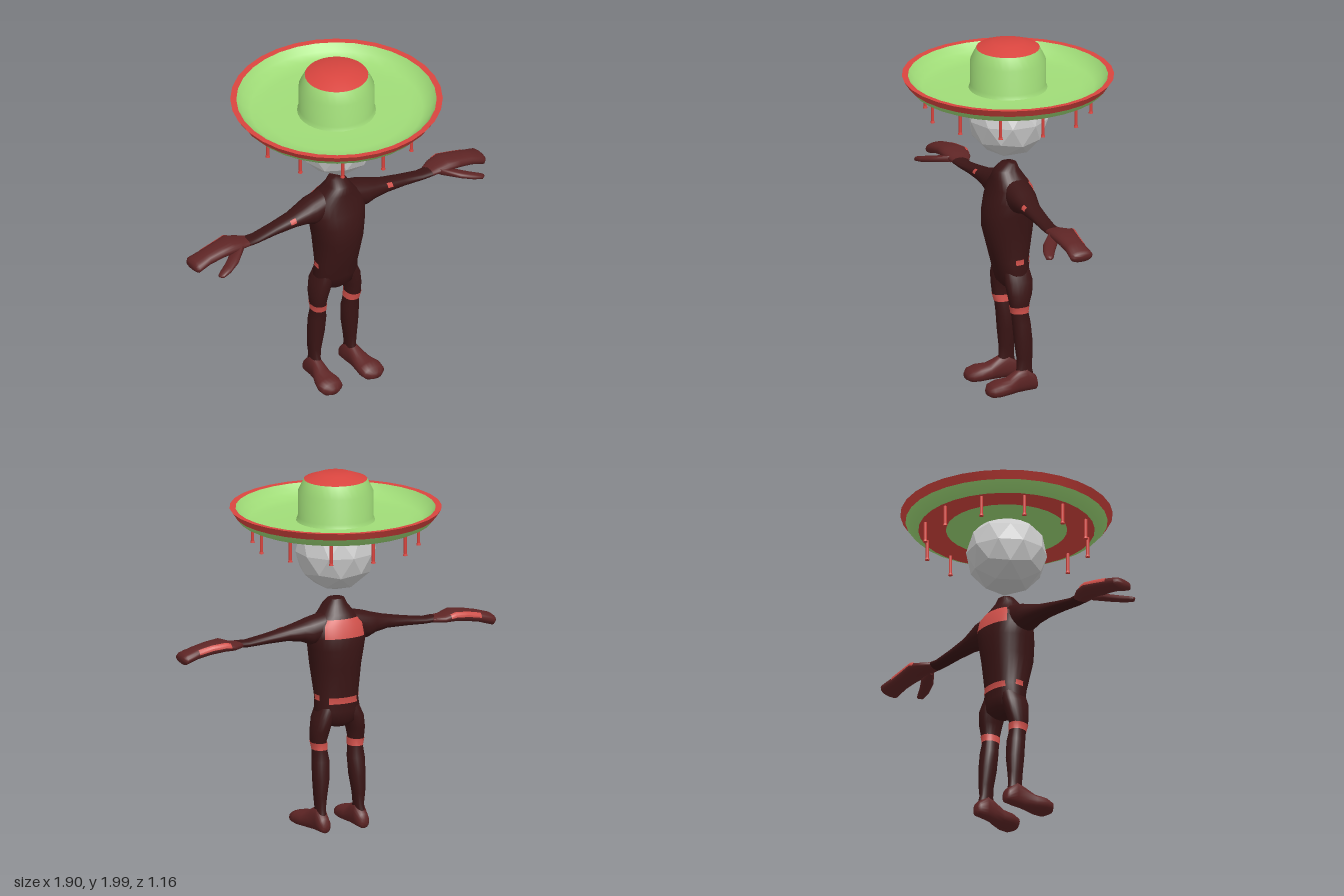
import * as THREE from 'three';
import { toCreasedNormals } from 'three/addons/utils/BufferGeometryUtils.js';

const paint = (color, extra = {}) => {
  const m = new THREE.MeshStandardMaterial({ color, ...extra });
  return m;
};
const skin = paint(0x3a1515);
const limb = paint(0x5e2525);
const patchRed = paint(0xd0504a, { side: THREE.DoubleSide });
const red = paint(0xd9453f, { side: THREE.DoubleSide });
const green = paint(0xa0dc78, { side: THREE.DoubleSide });
const grey = paint(0xcccccc, { flatShading: true });

// Section [t, bMin, bMax, cMin, cMax] interpolated at position t
function sectionAt(rings, t) {
  let i = 0;
  while (i < rings.length - 2 && rings[i + 1][0] < t) i++;
  const k = (t - rings[i][0]) / (rings[i + 1][0] - rings[i][0]);
  return rings[i].map((v, n) => THREE.MathUtils.lerp(v, rings[i + 1][n], k));
}

// Skin over sections along an axis (0 x, 1 y, 2 z); b and c are the next two axes in cycle
function loft(rings, axis, { from = 0, to = Math.PI * 2, grow = 0, cap = true, seg = 20 } = {}) {
  const pos = [], index = [];
  const list = [...rings];
  if (cap) {
    const close = ([t, b0, b1, c0, c1], d) => [t + d, (b0 + b1) / 2, (b0 + b1) / 2, (c0 + c1) / 2, (c0 + c1) / 2];
    list.unshift(close(rings[0], -0.002));
    list.push(close(rings[rings.length - 1], 0.002));
  }
  const soft = (v) => Math.sign(v) * Math.abs(v) ** 0.88;
  for (const [t, b0, b1, c0, c1] of list) {
    for (let j = 0; j <= seg; j++) {
      const a = from + ((to - from) * j) / seg;
      const p = [0, 0, 0];
      p[axis] = t;
      p[(axis + 1) % 3] = (b0 + b1) / 2 + ((b1 - b0) / 2 + grow) * soft(Math.cos(a));
      p[(axis + 2) % 3] = (c0 + c1) / 2 + ((c1 - c0) / 2 + grow) * soft(Math.sin(a));
      pos.push(...p);
    }
  }
  const w = seg + 1;
  for (let i = 0; i < list.length - 1; i++) {
    for (let j = 0; j < seg; j++) {
      const a = i * w + j;
      index.push(a, a + 1, a + w + 1, a, a + w + 1, a + w);
    }
  }
  const g = new THREE.BufferGeometry();
  g.setAttribute('position', new THREE.Float32BufferAttribute(pos, 3));
  g.setIndex(index);
  g.computeVertexNormals();
  return toCreasedNormals(g, 1.1);
}

// Coloured patch lying just above a lofted surface
function patch(rings, axis, t0, t1, from, to) {
  const cuts = [t0, ...rings.map((r) => r[0]).filter((t) => t > t0 && t < t1), t1];
  return loft(cuts.map((t) => sectionAt(rings, t)), axis, { from, to, grow: 0.003, cap: false });
}

// Mirror across x and turn the triangles back outward
function mirrored(geometry) {
  const g = geometry.clone().scale(-1, 1, 1);
  for (const name of ['position', 'normal']) {
    const a = g.attributes[name];
    for (let i = 0; i < a.count; i += 3) {
      const p = [a.getX(i), a.getY(i), a.getZ(i)];
      a.setXYZ(i, a.getX(i + 1), a.getY(i + 1), a.getZ(i + 1));
      a.setXYZ(i + 1, ...p);
    }
  }
  g.computeVertexNormals();
  g.deleteAttribute('normal');
  return toCreasedNormals(g, 1.1);
}

const torsoRings = [
  [0.59, -0.07, 0.03, -0.05, 0.05], [0.62, -0.1, 0.06, -0.11, 0.11],
  [0.68, -0.105, 0.075, -0.13, 0.13], [0.75, -0.105, 0.095, -0.12, 0.12],
  [0.93, -0.13, 0.142, -0.138, 0.138], [1.03, -0.14, 0.14, -0.153, 0.153],
  [1.1, -0.137, 0.122, -0.165, 0.165], [1.17, -0.12, 0.1, -0.155, 0.155],
  [1.22, -0.09, 0.09, -0.1, 0.1], [1.265, -0.06, 0.08, -0.065, 0.065],
  [1.3, -0.045, 0.04, -0.045, 0.045],
];
const legRings = [
  [0.08, -0.1, 0.03, 0.09, 0.15], [0.14, -0.086, 0, 0.09, 0.142],
  [0.2, -0.088, 0, 0.083, 0.15], [0.3, -0.09, 0.012, 0.066, 0.155],
  [0.4, -0.08, 0.02, 0.06, 0.155], [0.47, -0.066, 0.03, 0.07, 0.147],
  [0.51, -0.07, 0.04, 0.073, 0.155], [0.57, -0.09, 0.05, 0.06, 0.155],
  [0.64, -0.1, 0.06, 0.04, 0.145], [0.7, -0.09, 0.06, 0.02, 0.12],
];
const footRings = [
  [-0.117, 0.1, 0.135, 0.02, 0.06], [-0.108, 0.085, 0.15, 0.01, 0.09],
  [-0.05, 0.08, 0.155, 0.008, 0.15], [0, 0.083, 0.16, 0.008, 0.135],
  [0.06, 0.075, 0.185, 0.008, 0.1], [0.12, 0.065, 0.205, 0.008, 0.095],
  [0.165, 0.073, 0.2, 0.01, 0.082], [0.188, 0.11, 0.17, 0.022, 0.06],
];
const armRings = [
  [0.05, 1.08, 1.235, -0.09, 0.07], [0.17, 1.06, 1.208, -0.09, 0.07],
  [0.22, 1.08, 1.19, -0.075, 0.065], [0.3, 1.092, 1.167, -0.052, 0.058],
  [0.42, 1.09, 1.143, -0.04, 0.05], [0.54, 1.085, 1.123, -0.033, 0.05],
  [0.6, 1.088, 1.125, -0.035, 0.055],
];
const handRings = [
  [0.58, 1.088, 1.122, -0.035, 0.053], [0.64, 1.085, 1.13, -0.072, 0.055],
  [0.7, 1.085, 1.15, -0.08, 0.07], [0.78, 1.075, 1.142, -0.066, 0.06],
  [0.86, 1.06, 1.125, -0.062, 0.055], [0.935, 1.037, 1.102, -0.072, 0.06],
  [0.95, 1.05, 1.09, -0.055, 0.045],
];
const thumbRings = [
  [0.65, 1.085, 1.125, 0.02, 0.06], [0.73, 1.067, 1.105, 0.04, 0.13],
  [0.8, 1.05, 1.085, 0.09, 0.16], [0.85, 1.042, 1.07, 0.12, 0.168],
  [0.868, 1.048, 1.062, 0.135, 0.155],
];

export function createModel() {
  const root = new THREE.Group();
  const add = (parent, name, geometry, material) => {
    const mesh = new THREE.Mesh(geometry, material);
    mesh.name = name;
    parent.add(mesh);
    return mesh;
  };
  const group = (name) => {
    const g = new THREE.Group();
    g.name = name;
    root.add(g);
    return g;
  };

  // Body with paired limbs
  const body = group('body');
  const PI = Math.PI;
  add(body, 'torso', loft(torsoRings, 1, { seg: 28 }), skin);
  add(body, 'backPatch', patch(torsoRings, 1, 1.1, 1.2, PI - 0.75, PI + 0.75), patchRed);
  add(body, 'hipPatch', patch(torsoRings, 1, 0.725, 0.76, PI - 0.7, PI + 0.7), patchRed);
  const pairs = [
    ['Leg', loft(legRings, 1), skin],
    ['KneeBand', patch(legRings, 1, 0.465, 0.505, 0, PI * 2), patchRed],
    ['Foot', loft(footRings, 2), limb],
    ['Arm', loft(armRings, 0), skin],
    ['ArmPatch', patch(armRings, 0, 0.3, 0.335, 0.7, 1.4), patchRed],
    ['Hand', loft(handRings, 0), limb],
    ['HandPatch', patch(handRings, 0, 0.67, 0.86, PI * 1.5, PI * 1.75), patchRed],
    ['Thumb', loft(thumbRings, 0, { seg: 12 }), limb],
    ['WaistPatch', patch(torsoRings, 1, 0.74, 0.77, PI / 2 - 0.1, PI / 2 + 0.3), patchRed],
  ];
  for (const [name, geometry, material] of pairs) {
    add(body, 'left' + name, geometry, material);
    add(body, 'right' + name, mirrored(geometry), material);
  }

  // Faceted head with a vertex at the pole
  const head = new THREE.IcosahedronGeometry(0.222, 1).rotateZ(-Math.atan(2 / (1 + Math.sqrt(5))));
  add(root, 'head', head.translate(0, 1.567, 0), grey);

  // Wide hat turned in coloured bands
  const hat = group('hat');
  const band = (name, material, points) => {
    const profile = points.map(([x, y]) => new THREE.Vector2(x, y));
    add(hat, name, toCreasedNormals(new THREE.LatheGeometry(profile, 32), 0.6), material);
  };
  band('brimUnderCentre', green, [[0, 1.717], [0.33, 1.717]]);
  band('brimUnderRing', red, [[0.33, 1.717], [0.48, 1.717]]);
  band('brimFlank', green, [[0.48, 1.717], [0.52, 1.735], [0.55, 1.768]]);
  band('brimRim', red, [[0.55, 1.768], [0.578, 1.81], [0.545, 1.808]]);
  band('brimTop', green, [[0.545, 1.808], [0.515, 1.768], [0.47, 1.745], [0.4, 1.738], [0.215, 1.738]]);
  band('crown', green, [[0.215, 1.738], [0.206, 1.76], [0.206, 1.9], [0.173, 1.968]]);
  band('crownCap', red, [[0.173, 1.968], [0.085, 2], [0, 2]]);

  // Tassels hanging below the brim
  for (let i = 0; i < 12; i++) {
    const a = (i * PI) / 6;
    const tassel = new THREE.Group();
    tassel.name = 'tassel';
    tassel.position.set(0.452 * Math.sin(a), 0, 0.452 * Math.cos(a));
    add(tassel, 'cord', new THREE.CylinderGeometry(0.009, 0.009, 0.11, 8).translate(0, 1.664, 0), red);
    add(tassel, 'tip', new THREE.CylinderGeometry(0.01, 0.013, 0.012, 8).translate(0, 1.606, 0), red);
    hat.add(tassel);
  }
  return root;
}
